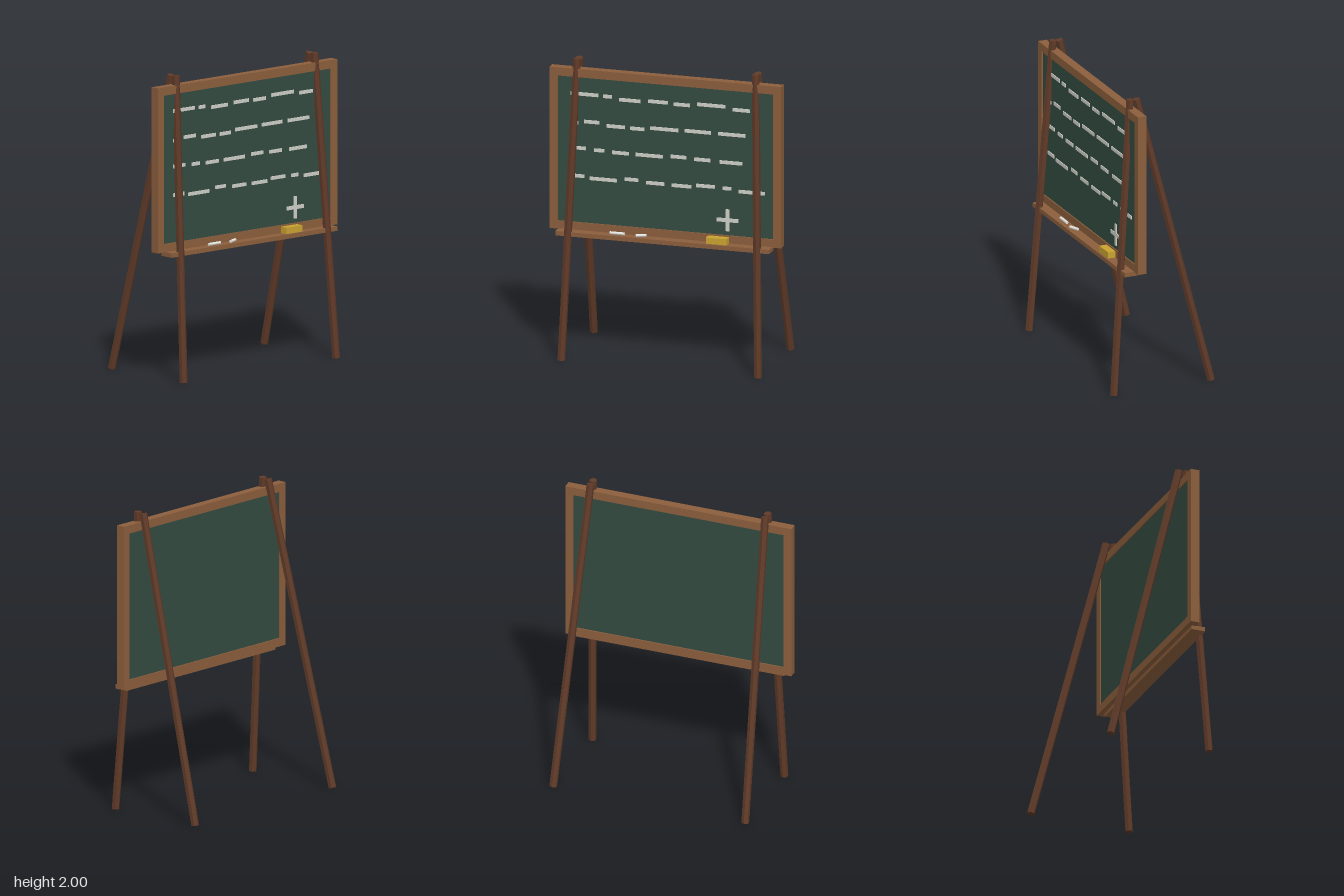
import * as THREE from 'three';

const mat = (name, color) => {
  const m = new THREE.MeshStandardMaterial({ color });
  m.name = name;
  return m;
};

export function createModel() {
  const wood = mat('frame wood', 0x8b5e3c);
  const darkWood = mat('leg wood', 0x5f3a28);
  const slate = mat('green slate', 0x334b41);
  const writing = mat('chalk writing', 0xcfcfc8);
  const stick = mat('chalk stick', 0xe6e6e2);
  const yellow = mat('eraser yellow', 0xc9a230);

  const model = new THREE.Group();
  model.name = 'chalkboardEasel';
  const add = (name, geometry, material, x = 0, y = 0, z = 0, parent = model) => {
    const mesh = new THREE.Mesh(geometry, material);
    mesh.name = name;
    mesh.position.set(x, y, z);
    parent.add(mesh);
    return mesh;
  };
  const box = (w, h, d) => new THREE.BoxGeometry(w, h, d);

  // Frame: a rectangle with a rectangular opening
  const rect = (Type, x, y0, y1) => {
    const p = new Type();
    p.moveTo(-x, y0).lineTo(x, y0).lineTo(x, y1).lineTo(-x, y1).closePath();
    return p;
  };
  const outline = rect(THREE.Shape, 0.785, 0.85, 1.935);
  outline.holes.push(rect(THREE.Path, 0.73, 0.905, 1.88));
  add('frame', new THREE.ExtrudeGeometry(outline, { depth: 0.06, bevelEnabled: false }), wood, 0, 0, 0.168);

  // Writing surface, set slightly into the frame on both sides
  add('board', box(1.46, 0.975, 0.044), slate, 0, 1.3925, 0.198);

  // Ledge with its eraser and chalk sticks
  add('ledge', box(1.45, 0.029, 0.095), wood, 0, 0.8385, 0.247);
  add('eraser', box(0.14, 0.042, 0.053), yellow, 0.362, 0.874, 0.254);
  [[-0.317, 0.1, 0], [-0.155, 0.07, 0.4]].forEach(([x, length, turn]) => {
    const chalk = add('chalkStick', new THREE.CylinderGeometry(0.01, 0.01, length, 8), stick, x, 0.863, 0.257);
    chalk.rotation.set(0, turn, Math.PI / 2);
  });

  // Six-sided legs, splayed outwards and joined at the top
  const leg = (name, top, bottom) => {
    const axis = top.clone().sub(bottom);
    const geometry = new THREE.CylinderGeometry(0.026, 0.026, axis.length(), 6).toNonIndexed();
    geometry.computeVertexNormals();
    const mesh = add(name, geometry, darkWood);
    mesh.position.copy(top).add(bottom).multiplyScalar(0.5);
    mesh.quaternion.setFromUnitVectors(new THREE.Vector3(0, 1, 0), axis.normalize());
  };
  for (const side of [-1, 1]) {
    const at = (x, y, z) => new THREE.Vector3(side * x, y, z);
    leg('frontLeg', at(0.606, 1.997, 0.205), at(0.667, 0.003, 0.346));
    leg('rearLeg', at(0.606, 1.993, 0.16), at(0.667, 0.007, -0.343));
  }

  // Chalk dashes: start x, end x, height for each row
  const rows = [
    [[-0.645, -0.457, 1.768], [-0.422, -0.365, 1.766], [-0.314, -0.17, 1.753], [-0.118, 0.016, 1.76],
      [0.056, 0.164, 1.755], [0.214, 0.407, 1.768], [0.457, 0.573, 1.753]],
    [[-0.645, -0.592, 1.573], [-0.552, -0.449, 1.585], [-0.401, -0.275, 1.569], [-0.24, -0.145, 1.567],
      [-0.103, 0.087, 1.58], [0.13, 0.309, 1.583], [0.357, 0.541, 1.583]],
    [[-0.645, -0.542, 1.404], [-0.483, -0.415, 1.399], [-0.362, -0.248, 1.394], [-0.203, -0.019, 1.394],
      [0.035, 0.14, 1.402], [0.193, 0.304, 1.397], [0.368, 0.52, 1.394]],
    [[-0.645, -0.55, 1.216], [-0.515, -0.33, 1.206], [-0.277, -0.185, 1.222], [-0.13, -0.008, 1.211],
      [0.04, 0.174, 1.209], [0.209, 0.333, 1.222], [0.386, 0.446, 1.219], [0.497, 0.674, 1.206]],
  ];
  const marks = new THREE.Group();
  marks.name = 'chalkMarks';
  model.add(marks);
  const markZ = 0.222;
  rows.forEach((row) => row.forEach(([x0, x1, y]) => {
    add('chalkDash', box(x1 - x0, 0.023, 0.008), writing, (x0 + x1) / 2, y, markZ, marks);
  }));

  // Drawn cross in the lower corner
  add('crossBar', box(0.147, 0.025, 0.008), writing, 0.42, 1.006, markZ, marks);
  for (const side of [-1, 1]) {
    add('crossArm', box(0.025, 0.061, 0.008), writing, 0.422, 1.006 + side * 0.043, markZ, marks);
  }
  return model;
}
